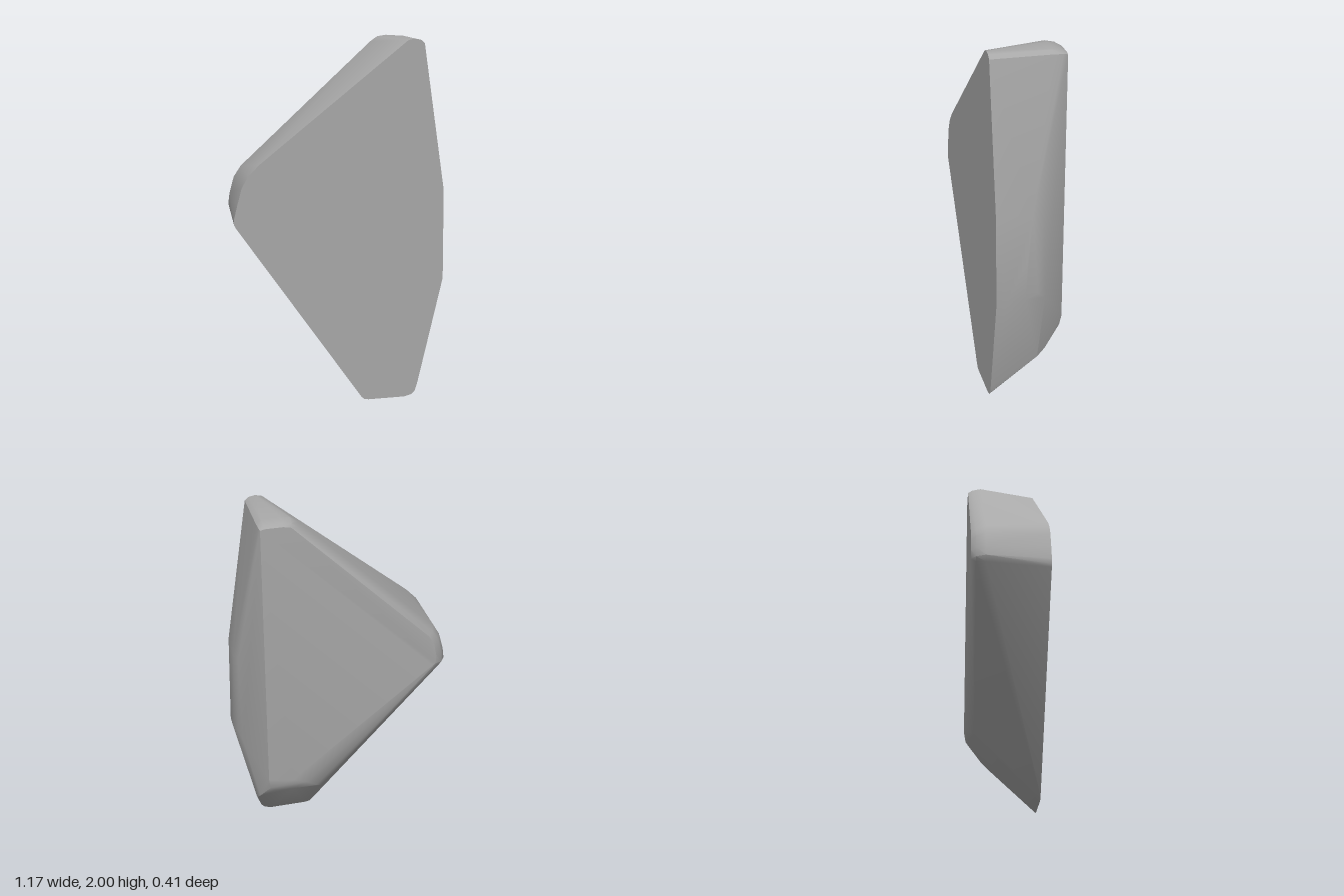
import * as THREE from 'three';
import { ConvexGeometry } from 'three/addons/geometries/ConvexGeometry.js';
import { toCreasedNormals } from 'three/addons/utils/BufferGeometryUtils.js';

export function createModel() {
  const group = new THREE.Group();
  group.name = 'rockShard';
  const stone = new THREE.MeshStandardMaterial({ color: 0xa8a8a8 });
  stone.name = 'stone grey';

  const points = [];
  const add = (x, y, z) => points.push(new THREE.Vector3(x, y, z));

  // Flat front face, tilted slightly, with rounded corners
  const front = [
    [0.11, 0.02], [0.125, 0.007], [0.15, 0.002], [0.36, 0], [0.4, 0.01], [0.42, 0.03], [0.435, 0.08],
    [0.572, 0.68], [0.567, 1.18], [0.445, 1.975], [0.425, 1.993], [0.39, 2], [0.355, 1.993],
    [-0.45, 1.36], [-0.51, 1.3], [-0.545, 1.24], [-0.57, 1.15], [-0.59, 1.07], [-0.588, 1.04], [-0.58, 1.025],
  ];
  for (const [x, y] of front) add(x, y, 0.2 - 0.012 * x);

  // Back face, softened toward its rim by three rings: [x, y, inward x, inward y]
  const back = [
    [0.445, 1.975, -0.008, -0.008], [0.42, 1.993, -0.01, -0.02], [0.32, 2, 0, -0.025],
    [0.27, 1.993, 0.01, -0.025], [0.23, 1.965, 0.02, -0.03],
    [-0.5, 1.3, 0.04, -0.03], [-0.54, 1.24, 0.05, -0.02], [-0.565, 1.15, 0.06, 0],
    [-0.573, 1.09, 0.07, 0.01], [-0.555, 1.06, 0.07, 0.03],
  ];
  const rings = [[-0.13, 0], [-0.18, 0.4], [-0.205, 1]];
  for (const [x, y, dx, dy] of back) {
    for (const [z, k] of rings) add(x + dx * k, y + dy * k, z);
  }

  // Rounded lower end of the back, above the sloping underside
  const lowerEnd = [
    [0.13, 0.365, -0.155], [0.16, 0.385, -0.175], [0.22, 0.43, -0.198], [0.3, 0.46, -0.205],
    [0.3, 0.39, -0.185], [0.4, 0.39, -0.18], [0.425, 0.42, -0.194], [0.435, 0.48, -0.203],
  ];
  for (const p of lowerEnd) add(...p);

  // Swelling right side and its tapering chamfer
  const side = [
    [0.585, 0.7, 0.14], [0.585, 0.7, 0.04], [0.58, 0.92, 0.03], [0.572, 1.18, 0], [0.555, 1.18, -0.06],
    [0.57, 0.72, -0.03], [0.552, 0.68, -0.075], [0.482, 0.27, -0.055], [0.47, 0.31, -0.1],
  ];
  for (const p of side) add(...p);

  const body = new THREE.Mesh(toCreasedNormals(new ConvexGeometry(points), 0.55), stone);
  body.name = 'shardBody';
  group.add(body);
  return group;
}
